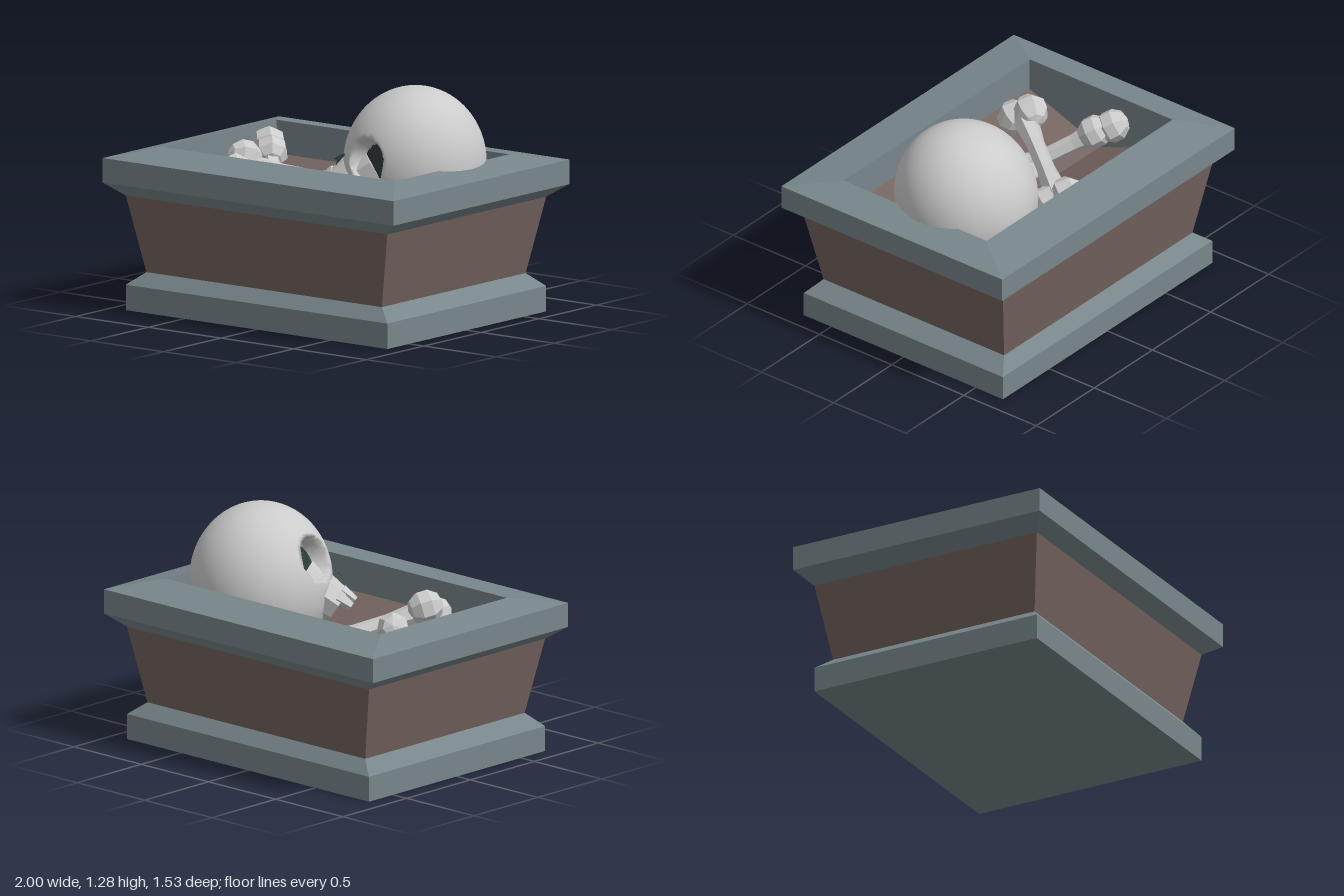
import * as THREE from 'three';
import { mergeVertices } from 'three/addons/utils/BufferGeometryUtils.js';

const material = (color, flatShading = true) =>
  new THREE.MeshStandardMaterial({ color, flatShading, side: THREE.DoubleSide });
const stone = material(0x78868b);
const soil = material(0x75645f);
const boneFlat = material(0xcccccc);
const boneSmooth = material(0xcccccc, false);
const hollow = material(0x2f393c);
const V = (x, y, z) => new THREE.Vector3(x, y, z);
const UP = V(0, 1, 0);

function add(parent, name, geometry, mat) {
  const mesh = new THREE.Mesh(geometry, mat);
  mesh.name = name;
  parent.add(mesh);
  return mesh;
}

// Rectangular shell from rings of [half width, y, half depth]
function rectLoft(rings) {
  const corners = [[1, 1], [1, -1], [-1, -1], [-1, 1]];
  const pos = [];
  const push = ([w, y, d], k) => pos.push(w * corners[k][0], y, d * corners[k][1]);
  for (let r = 0; r < rings.length - 1; r++) {
    const a = rings[r], b = rings[r + 1];
    for (let i = 0; i < 4; i++) {
      const j = (i + 1) % 4;
      push(a, i); push(a, j); push(b, j);
      push(a, i); push(b, j); push(b, i);
    }
  }
  const g = new THREE.BufferGeometry();
  g.setAttribute('position', new THREE.Float32BufferAttribute(pos, 3));
  g.computeVertexNormals();
  return g;
}

// Long bone: waisted six-sided shaft with a pair of knobs at each end
function makeBone(name, a, b, r, spreadA, spreadB) {
  const bone = new THREE.Group();
  bone.name = name;
  const len = a.distanceTo(b);
  const profile = [[1.35, -0.5], [1.15, -0.34], [0.9, -0.15], [0.9, 0.15], [1.15, 0.34], [1.35, 0.5]]
    .map(([w, t]) => new THREE.Vector2(w * r, t * len));
  const shaft = add(bone, 'boneShaft', new THREE.LatheGeometry(profile, 6), boneFlat);
  const dir = b.clone().sub(a).normalize();
  shaft.position.copy(a).lerp(b, 0.5);
  shaft.quaternion.setFromUnitVectors(UP, dir);
  for (const [end, spread] of [[a, spreadA], [b, spreadB]]) {
    for (const s of [-1, 1]) {
      const knob = add(bone, 'boneKnob', new THREE.SphereGeometry(r * 1.75, 7, 5), boneFlat);
      knob.position.copy(end).addScaledVector(spread, s);
      knob.quaternion.setFromUnitVectors(UP, dir);
    }
  }
  return bone;
}

function makeSkull() {
  const skull = new THREE.Group();
  skull.name = 'skull';
  const sockets = [-1, 1].map((s) => V(0.21 * s, 0.11, 0.302));

  // Cranium with the two eye sockets pressed in
  const g = new THREE.SphereGeometry(1, 112, 72);
  g.scale(0.387, 0.422, 0.387);
  const p = g.attributes.position, v = V(0, 0, 0);
  for (let i = 0; i < p.count; i++) {
    v.fromBufferAttribute(p, i);
    for (const c of sockets) {
      const t = 1 - THREE.MathUtils.smoothstep(v.distanceTo(c), 0.1, 0.13);
      if (t > 0) v.addScaledVector(c.clone().normalize(), -0.12 * t);
    }
    p.setXYZ(i, v.x, v.y, v.z);
  }
  g.deleteAttribute('uv');
  g.deleteAttribute('normal');
  const cranium = mergeVertices(g, 1e-4);
  cranium.computeVertexNormals();
  add(skull, 'cranium', cranium, boneSmooth);

  // Dark backs of the sockets
  for (const c of sockets) {
    const dir = c.clone().normalize();
    const eye = add(skull, 'eyeSocket', new THREE.CircleGeometry(0.105, 12), hollow);
    eye.position.copy(c).addScaledVector(dir, -0.11);
    eye.quaternion.setFromUnitVectors(V(0, 0, 1), dir);
  }

  // Upper jaw, pointing forward and down
  const jaw = new THREE.Group();
  jaw.name = 'upperJaw';
  jaw.position.set(0, -0.08, 0.31);
  jaw.rotation.x = Math.PI / 2 + 0.6;
  skull.add(jaw);
  const muzzle = new THREE.CylinderGeometry(0.145, 0.2, 0.25, 8);
  muzzle.scale(1, 1, 0.72);
  add(jaw, 'muzzle', muzzle, boneFlat);

  // Teeth around the front of the jaw
  for (let i = 0; i < 5; i++) {
    const a = (i - 2) * 0.55;
    const tooth = add(jaw, 'tooth', new THREE.CylinderGeometry(0.022, 0.042, 0.09, 4), boneFlat);
    tooth.position.set(Math.sin(a) * 0.125, 0.14, -Math.cos(a) * 0.085);
    tooth.rotation.y = -a + Math.PI / 4;
  }

  // Nose opening on the upper face of the muzzle
  const shape = new THREE.Shape([[0, 0.06], [0.045, -0.04], [0, -0.02], [-0.045, -0.04]]
    .map(([x, y]) => new THREE.Vector2(x, y)));
  const nose = add(skull, 'noseOpening', new THREE.ShapeGeometry(shape), hollow);
  nose.position.set(0, 0.035, 0.408);
  nose.rotation.x = -0.85;

  skull.position.set(0.472, 0.86, -0.09);
  skull.rotation.set(0, -Math.PI / 4, -0.27, 'YXZ');
  return skull;
}

export function createModel() {
  const model = new THREE.Group();
  model.name = 'openTomb';

  // Stone plinth, tapered body and hollow rim
  add(model, 'plinth', rectLoft([[0, 0, 0], [0.9, 0, 0.69], [0.9, 0.14, 0.69], [0.81, 0.21, 0.625]]), stone);
  add(model, 'body', rectLoft([[0.81, 0.21, 0.625], [0.9, 0.63, 0.69]]), soil);
  add(model, 'rim', rectLoft([[0.9, 0.63, 0.69], [1, 0.7, 0.765], [1, 0.835, 0.765],
    [0.8, 0.88, 0.495], [0.79, 0.5, 0.49]]), stone);

  // Floor sinking to a crease along the middle
  const floor = new THREE.PlaneGeometry(1.59, 0.985, 1, 2).rotateX(-Math.PI / 2);
  const p = floor.attributes.position;
  for (let i = 0; i < p.count; i++) p.setY(i, 0.52 + 0.36 * Math.abs(p.getZ(i)));
  add(model, 'floor', floor, soil);

  // Crossed bones and the skull
  model.add(makeBone('upperBone', V(-0.45, 0.79, 0.26), V(-0.1, 0.63, -0.27), 0.057,
    V(-0.01, 0.03, -0.045), V(-0.025, 0.03, -0.04)));
  model.add(makeBone('lowerBone', V(-0.595, 0.8, -0.18), V(-0.3, 0.55, 0.16), 0.054,
    V(-0.035, 0.015, -0.035), V(0.03, 0, 0.03)));
  model.add(makeSkull());
  return model;
}
